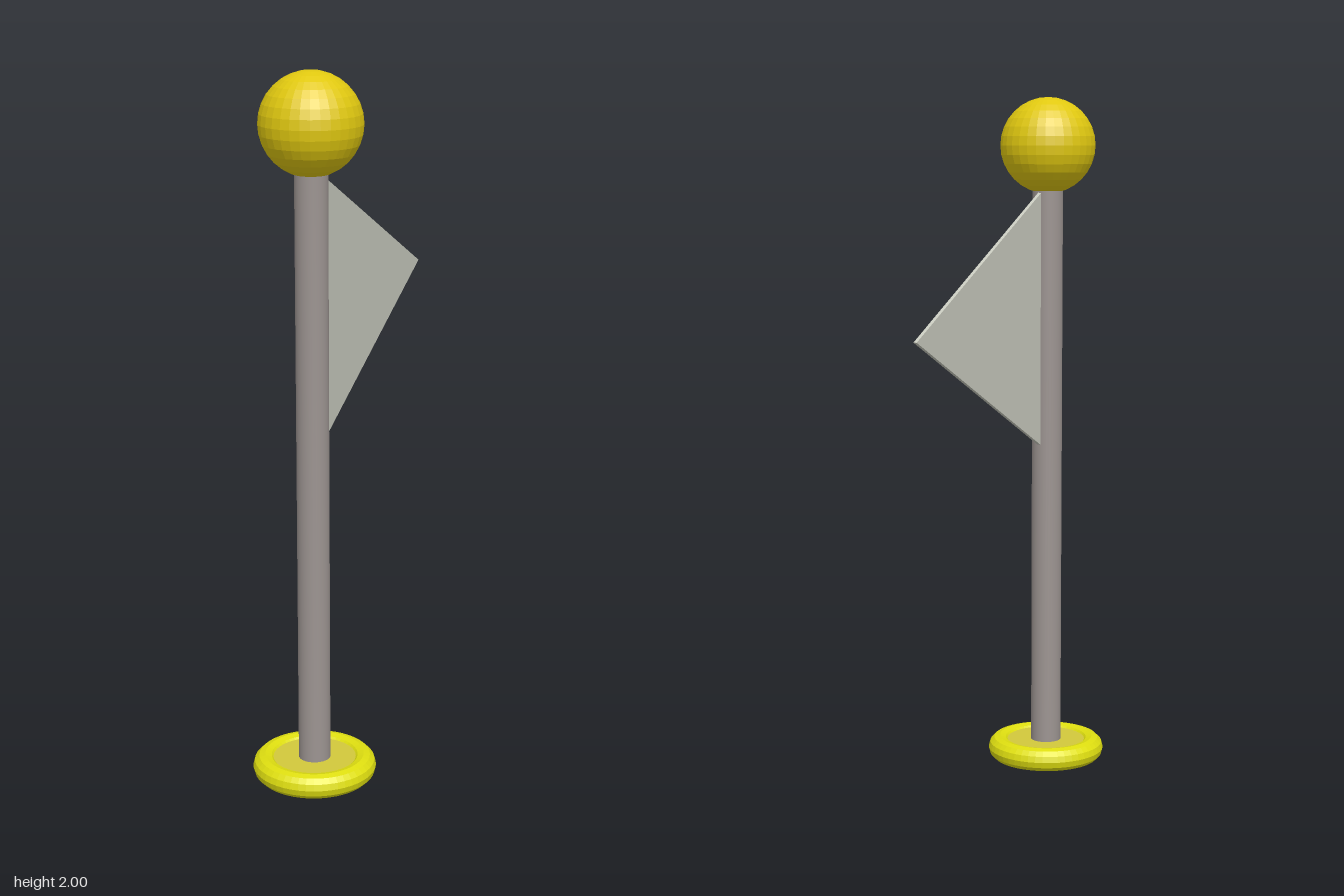
import * as THREE from 'three';

const POLE_Z = 0.31;

function material(color, flatShading = true) {
  return new THREE.MeshStandardMaterial({ color, flatShading });
}

export function createModel() {
  const model = new THREE.Group();
  model.name = 'flagpole';

  const add = (name, geometry, mat, y, z = POLE_Z) => {
    const mesh = new THREE.Mesh(geometry, mat);
    mesh.name = name;
    mesh.position.set(0, y, z);
    model.add(mesh);
    return mesh;
  };

  // Base: a rounded ring with a recessed disc inside
  const ring = new THREE.TorusGeometry(0.14, 0.035, 12, 48).rotateX(Math.PI / 2);
  add('baseRing', ring, material(0xdede10), 0.035);
  add('baseDisc', new THREE.CylinderGeometry(0.135, 0.135, 0.05, 32), material(0xd2c83c), 0.035);

  // Pole, running from the disc into the ball
  add('pole', new THREE.CylinderGeometry(0.045, 0.045, 1.71, 32), material(0x9c9491, false), 0.895);

  // Ball on top
  add('ball', new THREE.SphereGeometry(0.14, 32, 16), material(0xe0c810), 1.86);

  // Pennant: a thin triangle pointing backwards
  const outline = new THREE.Shape([
    new THREE.Vector2(0, -0.375),
    new THREE.Vector2(0.755, 0),
    new THREE.Vector2(0, 0.375),
  ]);
  const pennant = new THREE.ExtrudeGeometry(outline, { depth: 0.01, bevelEnabled: false });
  pennant.rotateY(Math.PI / 2);
  add('pennant', pennant, material(0xc8cabe), 1.35, 0.27);

  return model;
}
